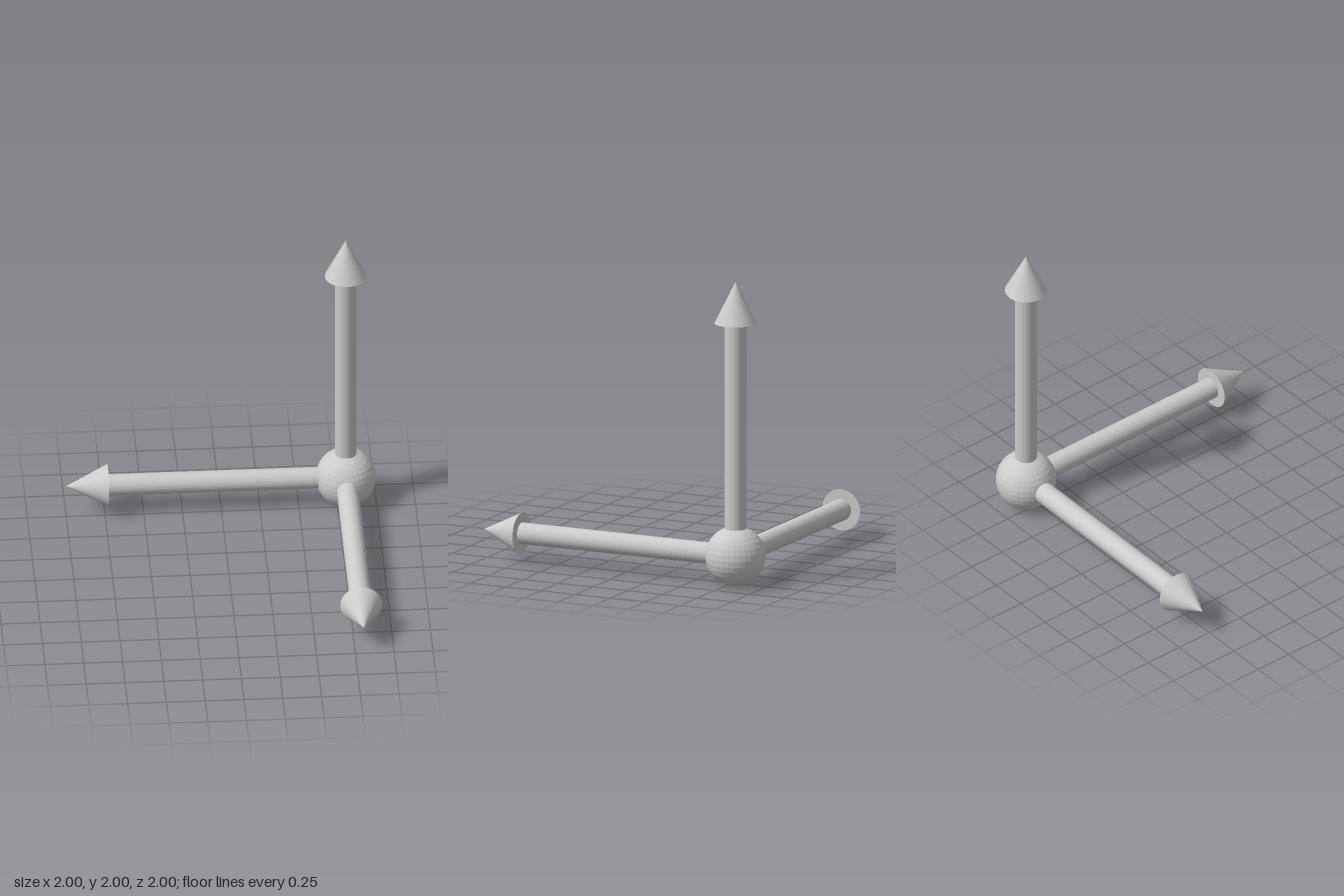
import * as THREE from 'three';

const ORIGIN = new THREE.Vector3(0.805, 0.195, -0.805);
const BALL_RADIUS = 0.195;
const SHAFT_RADIUS = 0.07;
const HEAD_RADIUS = 0.136;
const HEAD_LENGTH = 0.272;
const ARROW_LENGTH = 1.805;
const SIDES = 32;

const material = new THREE.MeshStandardMaterial({ color: 0xcccccc, flatShading: true });

function addMesh(parent, name, geometry, y = 0) {
  const mesh = new THREE.Mesh(geometry, material);
  mesh.name = name;
  mesh.position.y = y;
  parent.add(mesh);
}

// An arrow from the ball's centre along +y: shaft plus closed conical head
function createArrow(name) {
  const arrow = new THREE.Group();
  arrow.name = name;
  const shaftLength = ARROW_LENGTH - HEAD_LENGTH;
  addMesh(arrow, 'shaft',
    new THREE.CylinderGeometry(SHAFT_RADIUS, SHAFT_RADIUS, shaftLength, SIDES), shaftLength / 2);
  addMesh(arrow, 'arrowhead',
    new THREE.ConeGeometry(HEAD_RADIUS, HEAD_LENGTH, SIDES), shaftLength + HEAD_LENGTH / 2);
  return arrow;
}

export function createModel() {
  const model = new THREE.Group();
  model.name = 'axisArrows';

  const axes = new THREE.Group();
  axes.name = 'axes';
  axes.position.copy(ORIGIN);
  model.add(axes);

  // Ball joining the three arrows
  addMesh(axes, 'originBall', new THREE.SphereGeometry(BALL_RADIUS, SIDES, SIDES / 2));

  // Arrows pointing up, to the right and forward
  const up = createArrow('upArrow');
  const right = createArrow('rightArrow');
  right.rotation.z = Math.PI / 2;
  const forward = createArrow('forwardArrow');
  forward.rotation.x = Math.PI / 2;
  axes.add(up, right, forward);

  return model;
}
